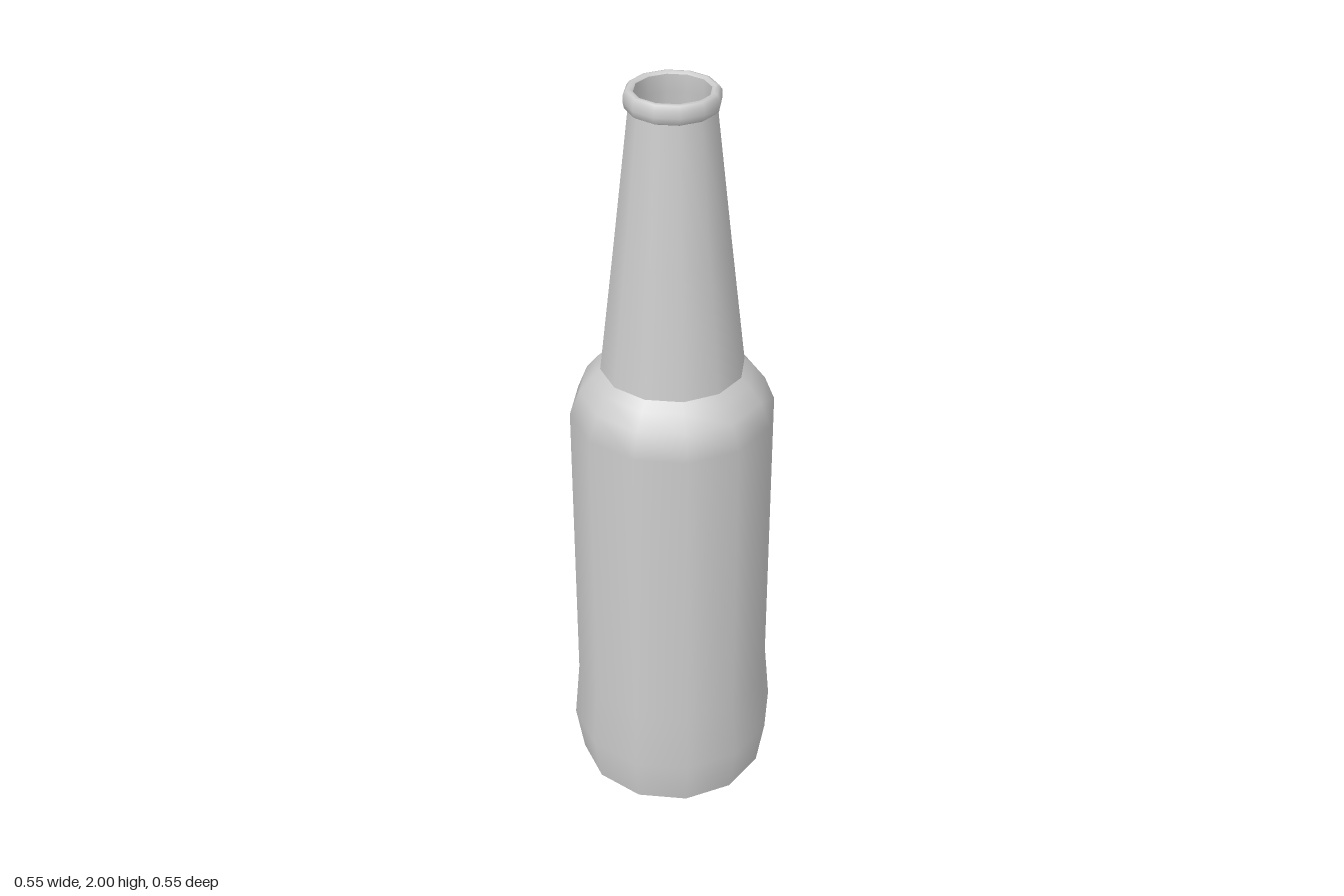
import * as THREE from 'three';

const SIDES = 12;

export function createModel() {
  const group = new THREE.Group();
  group.name = 'bottle';
  const material = new THREE.MeshStandardMaterial({ color: 0xcccccc });

  // Each part is a turned profile of [radius, height] points
  const turn = (name, profile) => {
    const points = profile.map(([r, y]) => new THREE.Vector2(r, y));
    const mesh = new THREE.Mesh(new THREE.LatheGeometry(points, SIDES), material);
    mesh.name = name;
    group.add(mesh);
  };

  // Flat underside
  turn('base', [[0, 0], [0.255, 0]]);

  // Flared foot, straight body and rounded shoulder
  turn('body', [
    [0.255, 0], [0.277, 0.135], [0.263, 0.3], [0.263, 1.135],
    [0.237, 1.2], [0.205, 1.24], [0.183, 1.262],
  ]);

  // Tapering neck
  turn('neck', [[0.183, 1.262], [0.144, 1.6], [0.105, 1.95]]);

  // Rounded lip around the mouth
  turn('lip', [
    [0.105, 1.95], [0.113, 1.955], [0.116, 1.97], [0.115, 1.988],
    [0.108, 1.998], [0.1, 2], [0.092, 1.994],
  ]);

  // Hollow inside, running down from the mouth
  turn('innerWall', [
    [0.092, 1.994], [0.092, 1.95], [0.168, 1.262], [0.22, 1.2],
    [0.245, 1.13], [0.245, 0.03],
  ]);
  turn('innerFloor', [[0.245, 0.03], [0, 0.03]]);

  return group;
}
